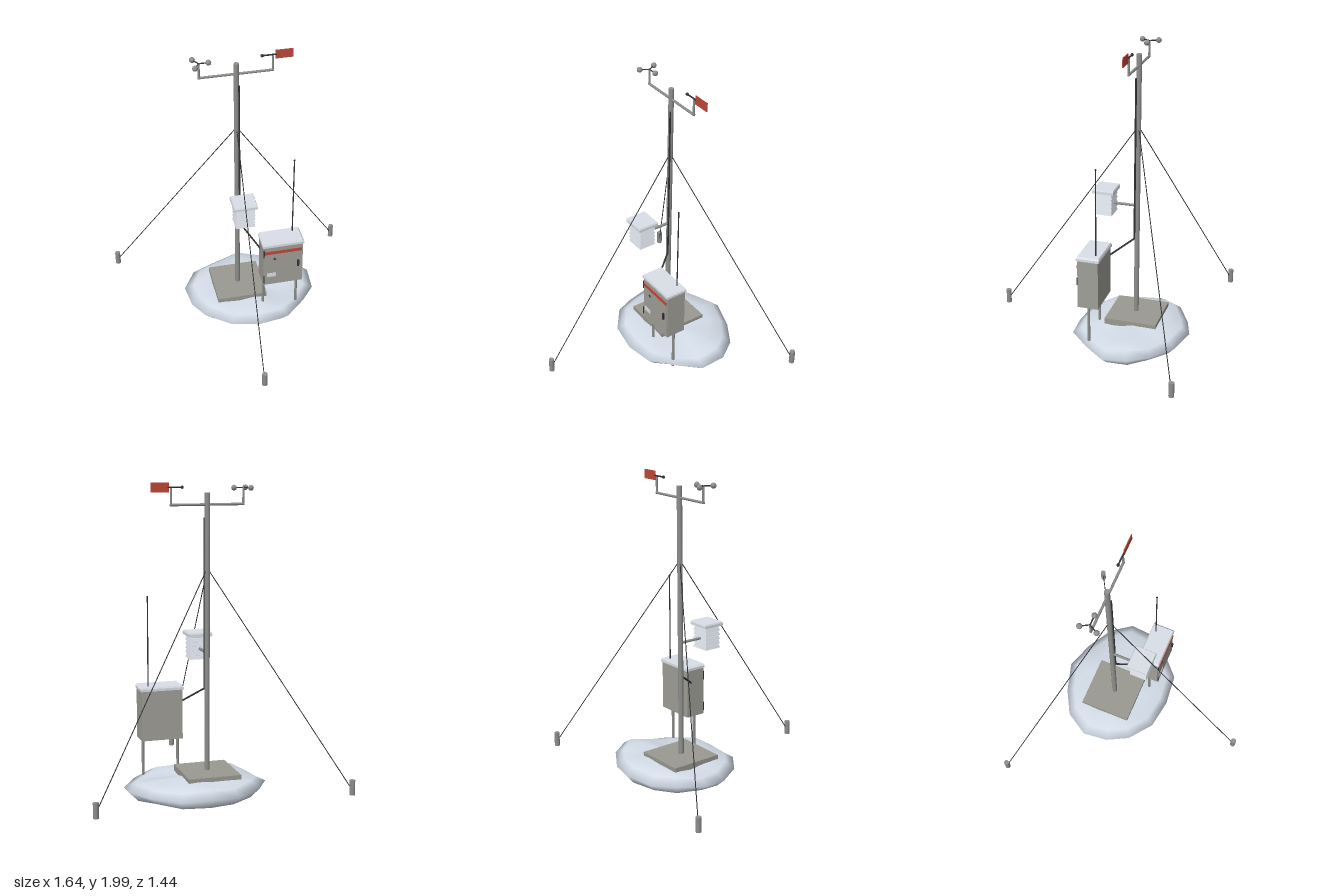
import * as THREE from 'three';
import { toCreasedNormals } from 'three/addons/utils/BufferGeometryUtils.js';

const mat = (name, color) => Object.assign(new THREE.MeshStandardMaterial({ color }), { name });
const V = (x, y, z) => new THREE.Vector3(x, y, z);

export function createModel() {
  const snow = mat('snow', 0xdde6f2);
  const white = mat('off white paint', 0xdde2ea);
  const grey = mat('cabinet grey', 0xa09f98);
  const concrete = mat('concrete', 0x9a9991);
  const steel = mat('galvanised steel', 0x8e908d);
  const dark = mat('dark rubber', 0x303234);
  const red = mat('signal red', 0xc0483a);

  const root = new THREE.Group();
  root.name = 'weatherStation';
  const group = (name) => {
    const g = new THREE.Group();
    g.name = name;
    root.add(g);
    return g;
  };
  const add = (parent, name, geo, material, x = 0, y = 0, z = 0) => {
    const m = new THREE.Mesh(geo, material);
    m.name = name;
    m.position.set(x, y, z);
    parent.add(m);
    return m;
  };
  const box = (p, name, w, h, d, m, x, y, z) => add(p, name, new THREE.BoxGeometry(w, h, d), m, x, y, z);
  const ball = (p, name, r, m, x, y, z) => add(p, name, new THREE.SphereGeometry(r, 10, 8), m, x, y, z);
  // Straight round bar between two points
  const rod = (p, name, a, b, r, m, sides = 8) => {
    const dir = b.clone().sub(a);
    const mesh = add(p, name, new THREE.CylinderGeometry(r, r, dir.length(), sides), m);
    mesh.position.copy(a).add(b).multiplyScalar(0.5);
    mesh.quaternion.setFromUnitVectors(V(0, 1, 0), dir.normalize());
    return mesh;
  };
  // Four-sided block whose top is scaled by k
  const frustum = (w, d, h, k) => toCreasedNormals(
    new THREE.CylinderGeometry(k * Math.SQRT1_2, Math.SQRT1_2, h, 4).rotateY(Math.PI / 4).scale(w, 1, d), 0.3);

  const mx = -0.013, mz = -0.22;

  // Snow mound: uneven rings lofted inside a plan outline
  const outline = [[0.066, -0.604], [0.254, -0.547], [0.425, -0.44], [0.52, -0.306], [0.512, -0.14],
    [0.41, -0.005], [0.267, 0.13], [0.066, 0.15], [-0.13, 0.122], [-0.285, 0.004],
    [-0.355, -0.14], [-0.378, -0.306], [-0.285, -0.46], [-0.123, -0.55]];
  const rings = [[0.3, 0.162], [0.62, 0.152], [0.86, 0.14], [1, 0.1], [0.86, 0.045], [0.5, 0.02]];
  const cx = 0.066, cz = -0.227, n = outline.length;
  const pos = [cx, 0.165, cz], idx = [];
  rings.forEach(([s, y], r) => outline.forEach(([x, z], i) => {
    const bump = 0.011 * Math.sin(i * 2.1 + r * 0.8) * (r > 0 ? 1 : 0.4);
    const dip = r < 3 && i > 3 && i < 7 ? -0.016 : 0;
    pos.push(cx + (x - cx) * s, y + bump + dip, cz + (z - cz) * s);
  }));
  pos.push(cx, 0.008, cz);
  const last = 1 + rings.length * n;
  for (let i = 0; i < n; i++) {
    const j = (i + 1) % n;
    idx.push(0, 1 + j, 1 + i);
    for (let r = 0; r < rings.length - 1; r++) {
      const a = 1 + r * n, b = a + n;
      idx.push(a + i, a + j, b + i, a + j, b + j, b + i);
    }
    idx.push(last, last - n + i, last - n + j);
  }
  const mound = new THREE.BufferGeometry();
  mound.setAttribute('position', new THREE.Float32BufferAttribute(pos, 3));
  mound.setIndex(idx);
  mound.computeVertexNormals();
  add(root, 'snowMound', mound, snow);

  // Footing, mast and cable conduit
  box(root, 'footing', 0.343, 0.085, 0.346, concrete, mx, 0.1425, -0.225);
  const mast = group('mast');
  rod(mast, 'mastPole', V(mx, 0.12, mz), V(mx, 1.937, mz), 0.017, steel, 12);
  rod(mast, 'conduit', V(0.001, 0.71, -0.205), V(0.001, 1.785, -0.205), 0.006, dark, 6);
  rod(mast, 'conduitBranch', V(0.001, 0.712, -0.205), V(0.115, 0.59, -0.03), 0.006, dark, 6);

  // Crossarm with upturned ends
  const arm = group('crossarm');
  rod(arm, 'crossbar', V(-0.252, 1.865, mz), V(0.224, 1.865, mz), 0.008, steel);
  for (const x of [-0.245, 0.217]) rod(arm, 'upright', V(x, 1.86, mz), V(x, 1.967, mz), 0.007, steel);

  // Three-cup anemometer
  const cups = group('anemometer');
  for (let i = 0; i < 3; i++) {
    const a = i * Math.PI * 2 / 3;
    const tip = V(-0.245 + 0.061 * Math.cos(a), 1.965, mz + 0.061 * Math.sin(a));
    rod(cups, 'cupArm', V(-0.245, 1.965, mz), tip, 0.004, dark, 6);
    ball(cups, 'cup', 0.018, steel, tip.x, tip.y, tip.z);
  }

  // Wind vane
  const vane = group('windVane');
  rod(vane, 'vaneRod', V(0.147, 1.971, mz), V(0.24, 1.971, mz), 0.005, dark, 6);
  ball(vane, 'counterweight', 0.01, dark, 0.148, 1.971, mz);
  box(vane, 'vanePlate', 0.112, 0.058, 0.006, red, 0.288, 1.971, mz);

  // Guy wires and ground anchors
  const guys = group('guyWires');
  for (const [x, z] of [[-0.802, -0.705], [0.8, -0.667], [-0.035, 0.703]]) {
    const out = V(x - mx, 0, z - mz).setLength(0.016);
    rod(guys, 'wire', V(mx + out.x, 1.452, mz + out.z), V(x, 0.125, z), 0.003, dark, 5);
    add(guys, 'anchor', new THREE.CylinderGeometry(0.018, 0.018, 0.095, 8), steel, x, 0.141, z);
  }

  // Louvred instrument screen on a bracket
  const screen = group('instrumentScreen');
  const sx = -0.014, sz = -0.008;
  rod(screen, 'bracket', V(sx, 0.94, mz), V(sx, 0.94, -0.05), 0.009, steel);
  box(screen, 'core', 0.105, 0.15, 0.095, white, sx, 0.945, sz);
  for (let i = 0; i < 5; i++) {
    add(screen, 'louvre', frustum(0.13, 0.118, 0.024, 0.88), white, sx, 0.883 + i * 0.0285, sz);
  }
  box(screen, 'roofEave', 0.155, 0.017, 0.143, white, sx, 1.028, sz);
  add(screen, 'roofTop', frustum(0.155, 0.143, 0.01, 0.94), white, sx, 1.0415, sz);

  // Equipment cabinet on two legs
  const cab = group('cabinet');
  const bx = 0.24, bz = -0.008;
  box(cab, 'cabinetBody', 0.27, 0.33, 0.135, grey, bx, 0.525, bz);
  box(cab, 'door', 0.25, 0.312, 0.005, grey, bx, 0.523, 0.061);
  box(cab, 'capEave', 0.281, 0.016, 0.15, white, bx, 0.692, bz);
  add(cab, 'capTop', frustum(0.281, 0.15, 0.012, 0.93), white, bx, 0.706, bz);
  box(cab, 'redStripe', 0.25, 0.024, 0.004, red, bx, 0.638, 0.065);
  box(cab, 'labelPlate', 0.062, 0.03, 0.004, white, 0.159, 0.446, 0.065);
  box(cab, 'handle', 0.013, 0.048, 0.014, dark, 0.342, 0.524, 0.069);
  for (const y of [0.63, 0.41]) box(cab, 'hinge', 0.006, 0.06, 0.008, dark, 0.108, y, 0.063);
  // Small triangular warning plate
  const sign = add(cab, 'warningPlate', new THREE.CylinderGeometry(0.012, 0.012, 0.003, 3), dark, 0.181, 0.583, 0.065);
  sign.rotation.set(-Math.PI / 2, 0, 0);
  for (const x of [0.121, 0.353]) rod(cab, 'leg', V(x, 0.06, bz), V(x, 0.37, bz), 0.009, steel);

  // Whip antenna
  rod(cab, 'antenna', V(0.326, 0.7, -0.047), V(0.326, 1.287, -0.047), 0.004, dark, 6);
  ball(cab, 'antennaTip', 0.006, dark, 0.326, 1.286, -0.047);

  return root;
}
